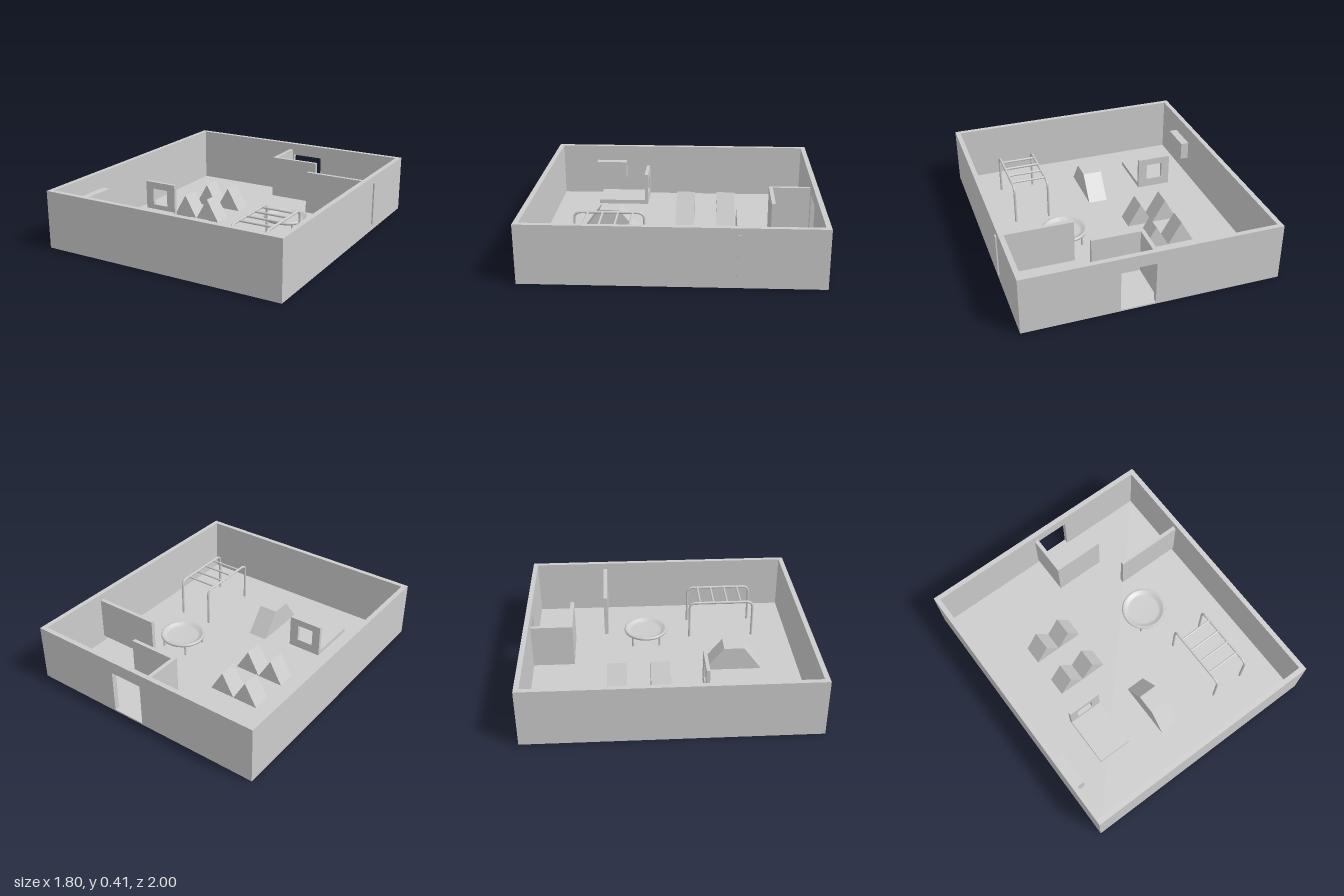
import * as THREE from 'three';

export function createModel() {
  const root = new THREE.Group();
  const mat = new THREE.MeshStandardMaterial({ color: 0xcccccc, side: THREE.DoubleSide });

  const add = (name, geo, parent = root) => {
    const m = new THREE.Mesh(geo, mat);
    m.name = name;
    parent.add(m);
    return m;
  };
  const group = (name) => {
    const g = new THREE.Group();
    g.name = name;
    root.add(g);
    return g;
  };
  // Box given by its limits on each axis
  const box = (name, x0, x1, y0, y1, z0, z1, parent) => {
    const m = add(name, new THREE.BoxGeometry(x1 - x0, y1 - y0, z1 - z0), parent);
    m.position.set((x0 + x1) / 2, (y0 + y1) / 2, (z0 + z1) / 2);
    return m;
  };
  const polygon = (pts) => new THREE.Shape(pts.map(([x, y]) => new THREE.Vector2(x, y)));
  const rectHole = (x0, x1, y0, y1) =>
    new THREE.Path([[x0, y0], [x0, y1], [x1, y1], [x1, y0]].map(([x, y]) => new THREE.Vector2(x, y)));
  const extrude = (shape, depth) =>
    new THREE.ExtrudeGeometry(shape, { depth, bevelEnabled: false });

  // Room shell
  const L = -0.9, R = 0.885, H = 0.415, T = 0.035, B = 0.005;
  const room = group('room');
  box('floor', L + 0.015, R - 0.015, 0, 0.015, -0.985, 0.985, room);
  box('frontWall', L, R, B, H, 1 - T, 1, room);
  box('rightWall', L, L + T, B, H, -1 + T, 1 - T, room);
  box('leftWall', R - T, R, B, H, -1 + T, 1 - T, room);

  // Back wall with doorway
  const back = polygon([[L, B], [R, B], [R, H], [L, H]]);
  back.holes.push(rectHole(-0.015, 0.225, 0.016, 0.325));
  add('backWall', extrude(back, T), room).position.z = -1;

  // Partitions
  const parts = group('partitions');
  box('entryScreenSide', -0.05, -0.022, 0.055, 0.368, -0.96, -0.69, parts);
  box('entryScreenFront', -0.05, 0.32, 0.055, 0.368, -0.69, -0.663, parts);
  box('sidePartition', 0.36, 0.895, 0.055, 0.368, -0.445, -0.417, parts);

  // Two rows of triangular blocks
  const wedges = group('wedgeBlocks');
  for (const z of [-0.425, -0.12]) {
    for (const x of [-0.53, -0.34]) {
      const tri = polygon([[0, 0], [0.19, 0], [0.095, 0.165]]);
      add('wedgeBlock', extrude(tri, 0.138), wedges).position.set(x, 0.015, z);
    }
  }

  // Ramp block: slope, flat top, slope
  const ramp = polygon([[-0.695, 0.015], [-0.28, 0.015], [-0.42, 0.19], [-0.565, 0.19]]);
  const rampMesh = add('rampBlock', extrude(ramp, 0.14));
  rampMesh.rotation.y = Math.PI / 2;
  rampMesh.position.x = -0.12;

  // Platform with windowed panel
  const platform = group('windowPlatform');
  const panel = polygon([[-0.61, 0.1], [-0.365, 0.1], [-0.365, 0.335], [-0.61, 0.335]]);
  panel.holes.push(rectHole(-0.55, -0.43, 0.165, 0.285));
  add('windowPanel', extrude(panel, 0.025), platform).position.z = 0.24;
  box('platformSlab', -0.61, -0.365, 0.1, 0.13, 0.265, 0.615, platform);

  // Wall box
  box('wallBox', L + T, -0.805, 0.16, 0.295, 0.45, 0.69);

  // Round trampoline: padded rim dipping to a flat bed
  const tramp = group('trampoline');
  tramp.position.set(0.34, 0, -0.13);
  const profile = [[0, 0.095], [0.11, 0.095], [0.125, 0.1], [0.142, 0.112], [0.153, 0.116],
    [0.161, 0.112], [0.163, 0.104], [0.159, 0.095], [0.145, 0.09], [0, 0.088]];
  add('trampolineTop', new THREE.LatheGeometry(
    profile.map(([x, y]) => new THREE.Vector2(x, y)), 48), tramp);
  for (let i = 0; i < 4; i++) {
    const a = Math.PI / 4 + i * Math.PI / 2;
    add('trampolineLeg', new THREE.CylinderGeometry(0.008, 0.008, 0.085, 12), tramp)
      .position.set(0.142 * Math.cos(a), 0.0525, 0.142 * Math.sin(a));
  }

  // Climbing frame: two bent rails joined by rungs
  const frame = group('climbingFrame');
  const top = 0.305, bend = 0.05, z0 = 0.209, z1 = 0.691;
  const v = (y, z) => new THREE.Vector3(0, y, z);
  const path = new THREE.CurvePath();
  path.add(new THREE.LineCurve3(v(0.012, z0), v(top - bend, z0)));
  path.add(new THREE.QuadraticBezierCurve3(v(top - bend, z0), v(top, z0), v(top, z0 + bend)));
  path.add(new THREE.LineCurve3(v(top, z0 + bend), v(top, z1 - bend)));
  path.add(new THREE.QuadraticBezierCurve3(v(top, z1 - bend), v(top, z1), v(top - bend, z1)));
  path.add(new THREE.LineCurve3(v(top - bend, z1), v(0.012, z1)));
  for (const x of [0.361, 0.611]) {
    add('frameRail', new THREE.TubeGeometry(path, 100, 0.009, 12), frame).position.x = x;
  }
  for (const z of [0.288, 0.39, 0.495, 0.597]) {
    const rung = add('frameRung', new THREE.CylinderGeometry(0.008, 0.008, 0.25, 12), frame);
    rung.rotation.z = Math.PI / 2;
    rung.position.set(0.486, top, z);
  }

  return root;
}
